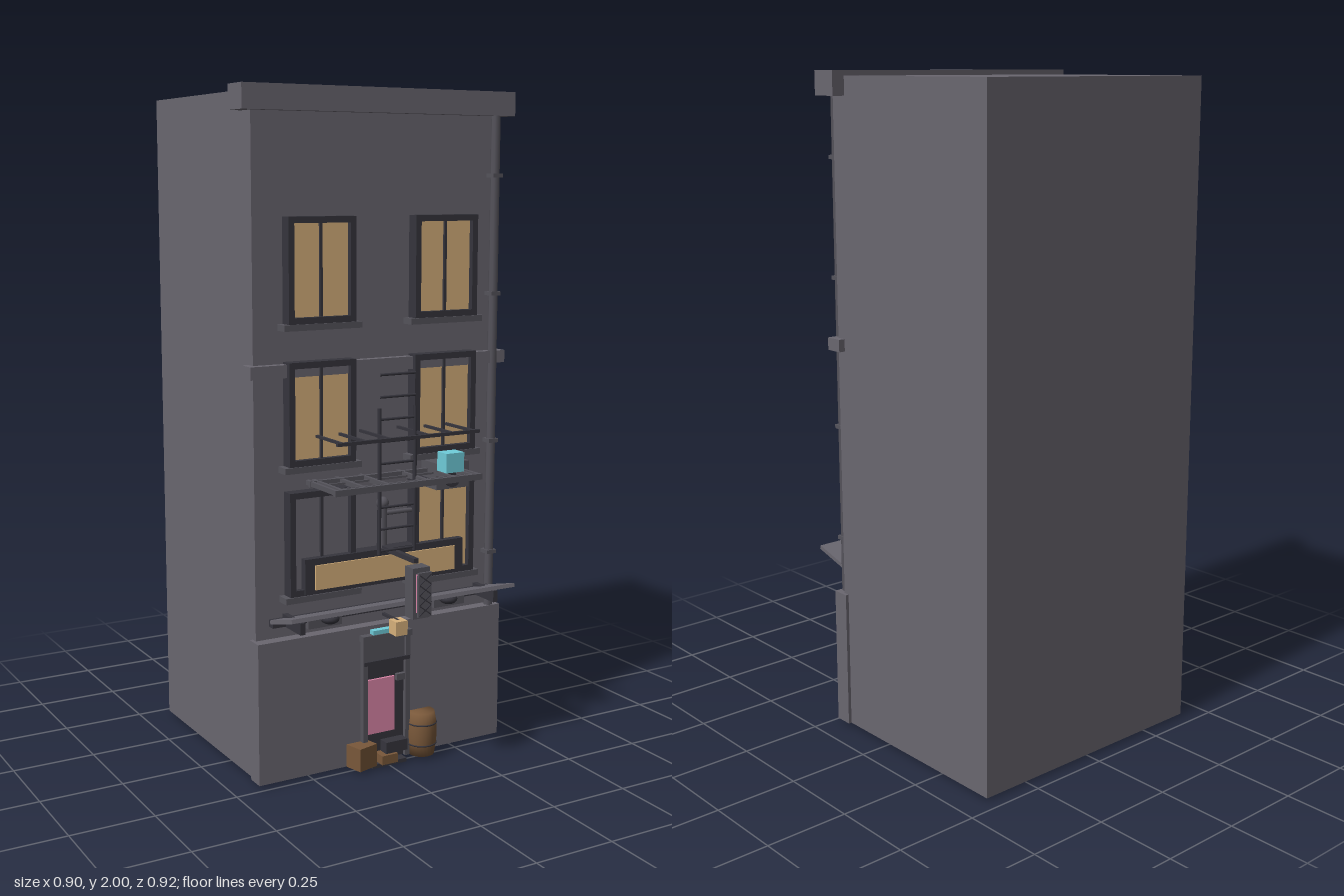
import * as THREE from 'three';

const mat = (name, color) => {
  const m = new THREE.MeshStandardMaterial({ color });
  m.name = name;
  return m;
};

export function createModel() {
  const root = new THREE.Group();
  root.name = 'townhouse';
  const wall = mat('wall grey', 0x6a6770);
  const metal = mat('metal grey', 0x56545c);
  const dark = mat('dark frame', 0x36353d);
  const amber = mat('amber light', 0xd8b27c);
  const pink = mat('pink light', 0xdc86a8);
  const cyan = mat('cyan', 0x70cedb);
  const brown = mat('wood brown', 0x79583a);

  const add = (name, geo, material, parent = root) => {
    const m = new THREE.Mesh(geo, material);
    m.name = name;
    parent.add(m);
    return m;
  };
  // Box given by its minimum and maximum on each axis
  const box = (name, material, x0, x1, y0, y1, z0, z1, parent = root) => {
    const m = add(name, new THREE.BoxGeometry(x1 - x0, y1 - y0, z1 - z0), material, parent);
    m.position.set((x0 + x1) / 2, (y0 + y1) / 2, (z0 + z1) / 2);
    return m;
  };
  // Round rod between two points
  const rod = (name, material, a, b, r, parent = root) => {
    const path = new THREE.LineCurve3(new THREE.Vector3(...a), new THREE.Vector3(...b));
    return add(name, new THREE.TubeGeometry(path, 1, r, 8), material, parent);
  };
  const group = (name) => {
    const g = new THREE.Group();
    g.name = name;
    root.add(g);
    return g;
  };

  // Building shell
  box('body', wall, -0.41, 0.41, 0.01, 1.985, -0.46, 0.2);
  box('base', wall, -0.42, 0.42, 0.01, 0.435, 0.18, 0.235);
  box('cornice', wall, -0.45, 0.45, 1.93, 2, 0.145, 0.23);
  box('floorBand', wall, -0.43, 0.43, 1.195, 1.232, 0.17, 0.225);
  box('doorStep', dark, -0.06, 0.06, 0, 0.012, 0.15, 0.27);

  // Drainpipe with clamps
  rod('drainpipe', metal, [0.388, 0.435, 0.219], [0.388, 1.93, 0.219], 0.014);
  for (const y of [0.6, 0.95, 1.4, 1.75]) box('pipeClamp', metal, 0.371, 0.405, y, y + 0.012, 0.198, 0.235);

  // Windows: frame, two panes, mullion and sill
  const makeWindow = (x, y, h, glass) => {
    const g = group('window');
    const w = 0.108, t = 0.018;
    const s = new THREE.Shape();
    s.moveTo(-w, 0).lineTo(w, 0).lineTo(w, h).lineTo(-w, h);
    const hole = new THREE.Path();
    hole.moveTo(-w + t, t).lineTo(-w + t, h - t).lineTo(w - t, h - t).lineTo(w - t, t);
    s.holes.push(hole);
    const frame = add('windowFrame', new THREE.ExtrudeGeometry(s, { depth: 0.04, bevelEnabled: false }), dark, g);
    frame.position.set(0, 0, 0.199);
    box('windowGlass', glass, -w + t, w - t, t, h - t, 0.2, 0.222, g);
    box('mullion', dark, -0.004, 0.004, t, h - t, 0.21, 0.23, g);
    box('windowSill', metal, -0.125, 0.125, -0.018, 0, 0.2, 0.243, g);
    g.position.set(x, y, 0);
  };
  for (const side of [-1, 1]) {
    makeWindow(side * 0.208, 1.345, 0.298, amber);
    makeWindow(side * 0.208, 0.94, 0.298, amber);
    makeWindow(side * 0.208, 0.56, 0.305, side < 0 ? wall : amber);
  }

  // Balcony floor grating and rail
  const balcony = group('balcony');
  for (const z of [0.225, 0.372]) box('floorBeam', metal, -0.247, 0.247, 0.875, 0.893, z - 0.005, z + 0.007, balcony);
  for (const x of [-0.24, -0.22, -0.145, -0.065, 0.065, 0.155, 0.22, 0.24])
    box('floorBar', metal, x - 0.005, x + 0.005, 0.878, 0.892, 0.2, 0.375, balcony);
  for (const z of [0.262, 0.335]) box('floorSlat', metal, -0.24, 0.24, 0.881, 0.887, z - 0.003, z + 0.003, balcony);
  box('handrail', dark, -0.24, 0.235, 1.016, 1.026, 0.37, 0.38, balcony);
  for (const x of [-0.22, -0.145, -0.065, 0.065, 0.145, 0.22])
    box('railBar', dark, x - 0.004, x + 0.004, 1.017, 1.025, 0.2, 0.375, balcony);

  // Ladder through the balcony
  const ladder = group('ladder');
  for (const x of [-0.06, 0.06]) rod('ladderRail', dark, [x, 0.67, 0.303], [x, 1.1, 0.303], 0.006, ladder);
  for (let i = 0; i < 9; i++) {
    const y = 0.68 + i * 0.0645;
    rod('ladderRung', dark, [-0.06, y, 0.303], [0.06, y, 0.303], 0.004, ladder);
  }

  // Cooling unit and planter beside the balcony
  box('coolingUnit', metal, 0.15, 0.265, 0.835, 0.915, 0.2, 0.283);
  const fan = add('coolingFan', new THREE.CylinderGeometry(0.028, 0.028, 0.006, 20), dark);
  fan.rotation.x = Math.PI / 2;
  fan.position.set(0.205, 0.868, 0.285);
  box('planter', cyan, 0.15, 0.212, 0.895, 0.953, 0.285, 0.335);

  // Vent pipe on the wall
  rod('ventPipe', metal, [0, 0.66, 0.222], [0, 0.79, 0.222], 0.014);
  rod('ventBranch', metal, [0, 0.77, 0.222], [0.1, 0.77, 0.222], 0.007);
  add('ventCap', new THREE.SphereGeometry(0.019, 16, 12), metal).position.set(0, 0.802, 0.222);

  // Long shop sign
  box('shopSignFrame', dark, -0.272, 0.272, 0.563, 0.668, 0.2, 0.245);
  box('shopSignPanel', amber, -0.24, 0.24, 0.575, 0.648, 0.244, 0.25);

  // Hanging sign on a bracket
  box('signBracket', dark, -0.008, 0.008, 0.661, 0.675, 0.2, 0.41);
  box('hangingSign', metal, -0.028, 0.028, 0.505, 0.655, 0.395, 0.438);
  box('signGlow', pink, -0.018, 0.018, 0.525, 0.637, 0.438, 0.45);
  box('signFace', metal, -0.022, 0.022, 0.515, 0.645, 0.45, 0.458);
  for (let i = 0; i < 4; i++) for (const a of [-1, 1]) {
    const bar = add('signLattice', new THREE.BoxGeometry(0.048, 0.003, 0.004), dark);
    bar.position.set(0, 0.535 + i * 0.03, 0.459);
    bar.rotation.z = a * 0.65;
  }

  // Awning tilting up towards the street
  const awning = box('awning', wall, -0.38, 0.38, 0.509, 0.521, 0.23, 0.37);
  awning.rotation.x = -0.27;
  box('awningBeam', dark, -0.38, 0.38, 0.482, 0.503, 0.225, 0.25);
  for (const side of [-1, 1]) {
    box('awningBracket', dark, side * 0.33 - 0.008, side * 0.33 + 0.008, 0.48, 0.515, 0.23, 0.34);
    box('lampBox', metal, side * 0.215 - 0.055, side * 0.215 + 0.055, 0.465, 0.49, 0.225, 0.26);
    const lamp = add('awningLamp', new THREE.SphereGeometry(0.028, 16, 10), dark);
    lamp.scale.y = 0.6;
    lamp.position.set(side * 0.205, 0.492, 0.27);
  }

  // Doorway
  box('doorRecess', dark, -0.068, 0.068, 0.012, 0.325, 0.23, 0.239);
  for (const side of [-1, 1]) box('doorPost', metal, side * 0.074 - 0.008, side * 0.074 + 0.008, 0.012, 0.4, 0.23, 0.252);
  box('doorHeader', metal, -0.066, 0.066, 0.325, 0.395, 0.23, 0.245);
  box('doorBar', dark, -0.08, 0.08, 0.318, 0.33, 0.23, 0.255);
  box('doorLintel', metal, -0.085, 0.085, 0.392, 0.411, 0.23, 0.258);
  box('doorLight', cyan, -0.05, 0.05, 0.411, 0.424, 0.235, 0.255);
  box('doorPanel', pink, -0.064, 0.03, 0.1, 0.27, 0.239, 0.247);
  box('doorHandle', metal, 0.036, 0.064, 0.255, 0.275, 0.239, 0.252);
  box('lanternArm', dark, -0.005, 0.005, 0.46, 0.468, 0.23, 0.315);
  box('lantern', amber, -0.02, 0.02, 0.425, 0.468, 0.294, 0.335);

  // Barrel with hoops
  const profile = [[0, 0], [0.04, 0], [0.046, 0.04], [0.047, 0.07], [0.046, 0.1], [0.04, 0.135], [0, 0.135]];
  add('barrel', new THREE.LatheGeometry(profile.map((p) => new THREE.Vector2(...p)), 24), brown).position.set(0.125, 0.01, 0.25);
  for (const y of [0.045, 0.11]) {
    const hoop = add('barrelHoop', new THREE.TorusGeometry(0.0455, 0.0025, 6, 24), dark);
    hoop.rotation.x = Math.PI / 2;
    hoop.position.set(0.125, y, 0.25);
  }

  // Crates by the door
  const crate = box('crate', brown, -0.125, -0.055, 0.01, 0.08, 0.22, 0.285);
  crate.rotation.y = 0.25;
  box('smallCrate', brown, -0.035, 0.02, 0.012, 0.04, 0.24, 0.285);
  box('toolBox', dark, -0.015, 0.06, 0.04, 0.075, 0.24, 0.275);
  return root;
}
